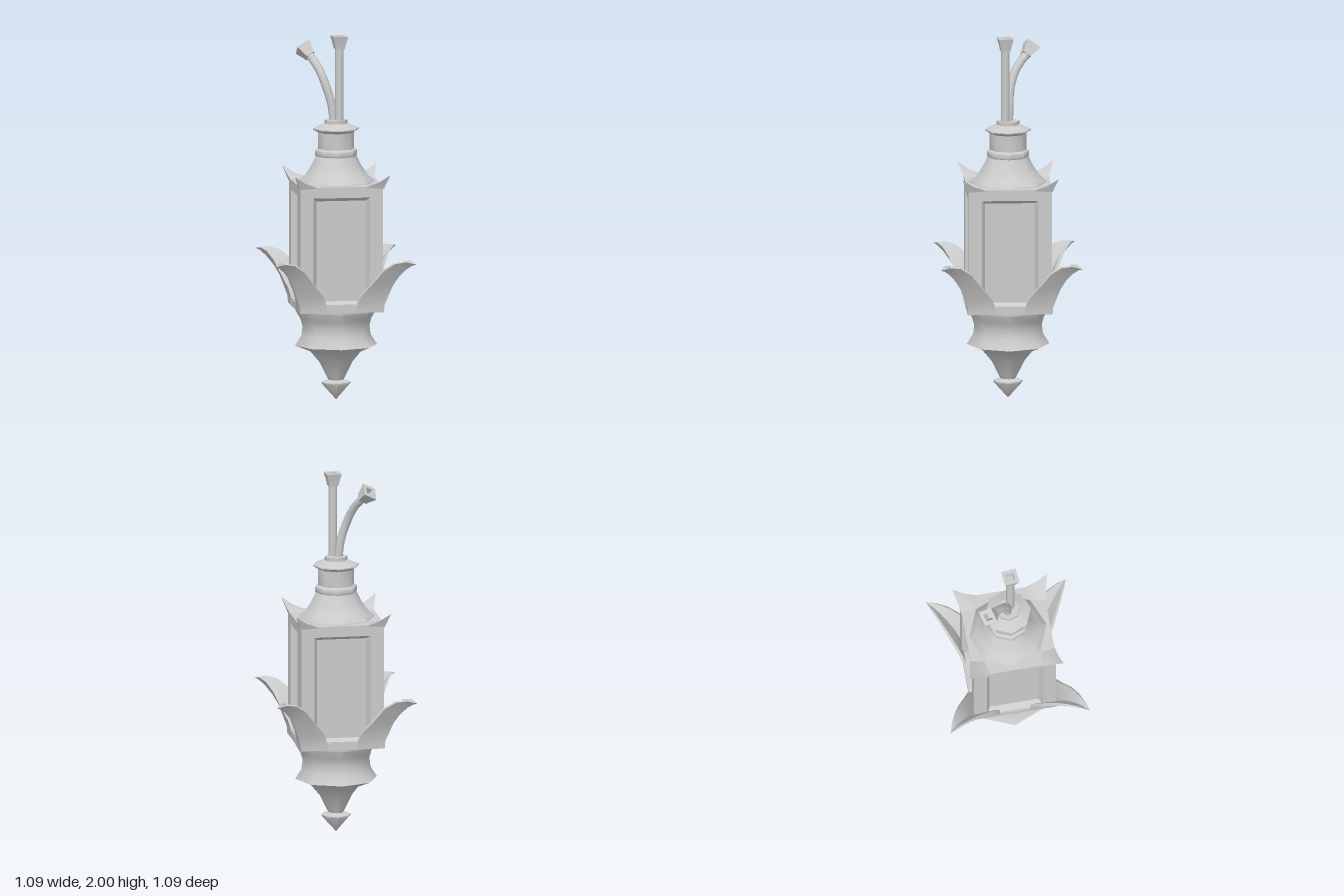
import * as THREE from 'three';
import { toCreasedNormals } from 'three/addons/utils/BufferGeometryUtils.js';

const material = new THREE.MeshStandardMaterial({ color: 0xcccccc });

function part(name, geometry, crease = 0.5) {
  const mesh = new THREE.Mesh(toCreasedNormals(geometry, crease), material);
  mesh.name = name;
  return mesh;
}

// Skin a list of closed loops (each the same number of [x, y, z] points).
function loft(sections) {
  const n = sections[0].length;
  const index = [];
  for (let i = 0; i < sections.length - 1; i++) {
    for (let j = 0; j < n; j++) {
      const a = i * n + j, b = i * n + (j + 1) % n;
      index.push(a, b, b + n, a, b + n, a + n);
    }
  }
  const geometry = new THREE.BufferGeometry();
  geometry.setAttribute('position', new THREE.Float32BufferAttribute(sections.flat(2), 3));
  geometry.setIndex(index);
  return geometry;
}

function lathe(profile, sides) {
  return new THREE.LatheGeometry(profile.map(([r, y]) => new THREE.Vector2(r, y)), sides);
}

// Square slab with its corners on the x and z axes.
function slab(name, radius, y0, y1) {
  const mesh = part(name, new THREE.CylinderGeometry(radius, radius, y1 - y0, 4));
  mesh.position.y = (y0 + y1) / 2;
  return mesh;
}

// One wall: flat frame, bevelled step and recessed pane.
function wallGeometry() {
  const rect = (w, y0, y1, z) => [[-w, y0, z], [w, y0, z], [w, y1, z], [-w, y1, z]];
  const d = 0.226;
  return loft([
    rect(0.226, 0.53, 1.19, d),
    rect(0.155, 0.555, 1.14, d),
    rect(0.135, 0.57, 1.12, d - 0.035),
    rect(0, 0.85, 0.85, d - 0.035),
  ]);
}

// Folded leaf around a corner, curling outward: [ridge z, ridge y, edge z, half width, edge y].
function leafGeometry() {
  const rows = [
    [0.326, 0.51, 0.221, 0.105, 0.51],
    [0.330, 0.55, 0.224, 0.105, 0.55],
    [0.355, 0.60, 0.250, 0.098, 0.605],
    [0.385, 0.66, 0.305, 0.083, 0.665],
    [0.425, 0.71, 0.372, 0.067, 0.745],
    [0.475, 0.755, 0.435, 0.048, 0.788],
    [0.515, 0.78, 0.495, 0.025, 0.8],
    [0.546, 0.79, 0.546, 0, 0.79],
  ];
  return loft(rows.map(([rz, ry, ez, w, ey]) => {
    const t = w > 0 ? 0.014 : 0;
    return [
      [0, ry, rz], [w, ey, ez], [w * 0.88, ey + t * 0.3, ez - t],
      [0, ry + t * 0.5, rz - t * 1.5], [-w * 0.88, ey + t * 0.3, ez - t], [-w, ey, ez],
    ];
  }));
}

// Upturned pointed corner of the roof plate.
function hornGeometry() {
  return loft([
    [[0, 1.185, 0.325], [0.075, 1.19, 0.25], [0, 1.19, 0.2], [-0.075, 1.19, 0.25]],
    [[0, 1.2, 0.333], [0.065, 1.2, 0.265], [0, 1.2, 0.22], [-0.065, 1.2, 0.265]],
    [[0, 1.225, 0.347], [0.032, 1.222, 0.312], [0, 1.216, 0.288], [-0.032, 1.222, 0.312]],
    Array(4).fill([0, 1.265, 0.37]),
  ]);
}

// Hollow four-sided socket on the end of a stem, pointing along dir.
function socket(name, base, dir, twist) {
  const mesh = part(name, lathe([
    [0, 0], [0.036, 0], [0.042, 0.025], [0.058, 0.07],
    [0.03, 0.07], [0.024, 0.035], [0, 0.035],
  ], 4));
  mesh.geometry.rotateY(twist);
  mesh.position.set(...base);
  mesh.quaternion.setFromUnitVectors(new THREE.Vector3(0, 1, 0), new THREE.Vector3(...dir).normalize());
  return mesh;
}

function stem(name, points) {
  const curve = new THREE.CatmullRomCurve3(points.map((p) => new THREE.Vector3(...p)));
  return part(name, new THREE.TubeGeometry(curve, 8, 0.023, 8), 0.9);
}

export function createModel() {
  const model = new THREE.Group();
  model.name = 'lantern';

  // Turned finial and bowl under the body
  model.add(part('finial', lathe([
    [0, 0.005], [0.08, 0.095], [0.08, 0.102], [0.04, 0.115], [0, 0.115],
  ], 8), 0.85));
  model.add(part('lowerBowl', lathe([
    [0, 0.11], [0.04, 0.11], [0.06, 0.15], [0.09, 0.21], [0.14, 0.27], [0.225, 0.305],
    [0.19, 0.36], [0.184, 0.41], [0.195, 0.45], [0.222, 0.495], [0.222, 0.512], [0, 0.512],
  ], 8), 0.9));

  // Square body: base band, four walls, roof plate, leaves and horns
  model.add(slab('baseBand', 0.326, 0.51, 0.55));
  model.add(slab('roofPlate', 0.327, 1.185, 1.2));
  const wall = wallGeometry(), leaf = leafGeometry(), horn = hornGeometry();
  for (let i = 0; i < 4; i++) {
    const side = new THREE.Group();
    side.name = 'side' + (i + 1);
    const panel = part('wallPanel', wall, 0.3);
    panel.rotation.y = Math.PI / 4;
    side.add(panel, part('leaf', leaf, 0.6), part('cornerHorn', horn, 0.5));
    side.rotation.y = i * Math.PI / 2;
    model.add(side);
  }

  // Octagonal dome, collar, neck and cap
  model.add(part('dome', lathe([
    [0, 1.19], [0.212, 1.19], [0.212, 1.203], [0.175, 1.235], [0.14, 1.285], [0.11, 1.345], [0, 1.345],
  ], 8), 0.9));
  model.add(part('collar', lathe([
    [0, 1.34], [0.11, 1.34], [0.115, 1.348], [0.115, 1.372], [0.105, 1.382], [0, 1.382],
  ], 8), 0.85));
  model.add(part('neck', lathe([[0, 1.375], [0.1, 1.375], [0.1, 1.475], [0, 1.475]], 8), 0.9));
  model.add(part('cap', lathe([
    [0, 1.472], [0.1, 1.472], [0.126, 1.488], [0.126, 1.494], [0.07, 1.517],
    [0.062, 1.52], [0.062, 1.54], [0, 1.54],
  ], 8), 0.85));

  // Straight and bent stems with sockets
  model.add(stem('straightStem', [[0.022, 1.52, 0], [0.022, 1.94, 0]]));
  model.add(socket('straightSocket', [0.022, 1.93, 0], [0, 1, 0], 0.1));
  model.add(stem('bentStem', [
    [-0.012, 1.52, 0.005], [-0.022, 1.62, 0.01], [-0.045, 1.71, 0.024],
    [-0.095, 1.81, 0.026], [-0.17, 1.885, 0.016],
  ]));
  model.add(socket('bentSocket', [-0.162, 1.877, 0.016], [-0.72, 0.66, 0.02], 0.15));

  return model;
}
